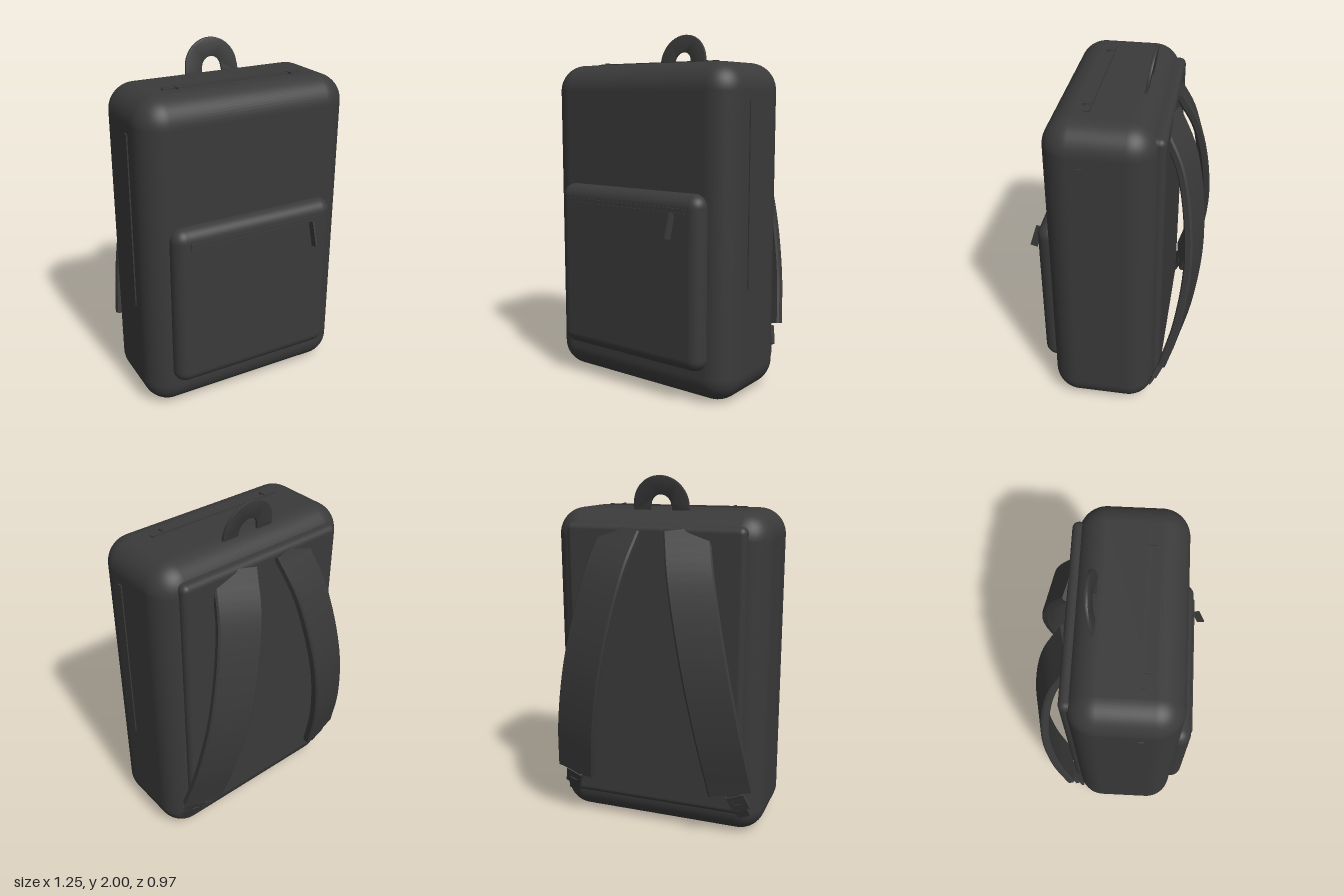
import * as THREE from 'three';
import { toCreasedNormals } from 'three/addons/utils/BufferGeometryUtils.js';
import { RoundedBoxGeometry } from 'three/addons/geometries/RoundedBoxGeometry.js';

const fabric = new THREE.MeshStandardMaterial({ color: 0x3a3a3a });
fabric.name = 'charcoal fabric';

function add(parent, name, geometry, x = 0, y = 0, z = 0) {
  const mesh = new THREE.Mesh(geometry, fabric);
  mesh.name = name;
  mesh.position.set(x, y, z);
  parent.add(mesh);
  return mesh;
}

// Sweeps a flat padded band along a curve; "across" is the width direction.
function band(points, across, width, thick, steps) {
  const curve = new THREE.CatmullRomCurve3(points);
  const w = width / 2, t = thick / 2, c = t * 0.4;
  const section = [[w, -t + c], [w, t - c], [w - c, t], [-w + c, t],
    [-w, t - c], [-w, -t + c], [-w + c, -t], [w - c, -t]];
  const n = section.length, pos = [], index = [];
  for (let i = 0; i <= steps; i++) {
    const p = curve.getPointAt(i / steps);
    const T = curve.getTangentAt(i / steps);
    const W = across.clone().addScaledVector(T, -T.dot(across)).normalize();
    const N = T.clone().cross(W);
    for (const [a, b] of section) {
      pos.push(...p.clone().addScaledVector(W, a).addScaledVector(N, b).toArray());
    }
  }
  for (let i = 0; i < steps; i++) {
    for (let j = 0; j < n; j++) {
      const a = i * n + j, b = i * n + (j + 1) % n;
      index.push(a, b, a + n, b, b + n, a + n);
    }
  }
  for (let j = 1; j < n - 1; j++) {
    const e = steps * n;
    index.push(0, j + 1, j, e, e + j, e + j + 1);
  }
  const g = new THREE.BufferGeometry();
  g.setAttribute('position', new THREE.Float32BufferAttribute(pos, 3));
  g.setIndex(index);
  return toCreasedNormals(g, 0.6);
}

// Arched carry loop, leaning back as it rises.
function handleGeometry() {
  const s = new THREE.Shape();
  s.moveTo(0.165, 0);
  s.lineTo(0.16, 0.045);
  s.absarc(0, 0.04, 0.16, 0, Math.PI, false);
  s.lineTo(-0.165, 0);
  s.lineTo(-0.064, 0);
  s.lineTo(-0.06, 0.04);
  s.absarc(0, 0.04, 0.058, Math.PI, 0, true);
  s.lineTo(0.064, 0);
  const g = new THREE.ExtrudeGeometry(s, { depth: 0.008, curveSegments: 20,
    bevelThickness: 0.004, bevelSize: 0.004, bevelOffset: -0.004, bevelSegments: 2 });
  const p = g.attributes.position;
  for (let i = 0; i < p.count; i++) p.setZ(i, p.getZ(i) - 0.17 * p.getY(i));
  g.deleteAttribute('normal');
  return toCreasedNormals(g, 0.6);
}

// Rectangular strap adjuster with a slot.
function buckleGeometry() {
  const rect = (Type, w, h, y) => new Type([[-w, y - h], [w, y - h], [w, y + h], [-w, y + h]]
    .map(([a, b]) => new THREE.Vector2(a, b)));
  const s = rect(THREE.Shape, 0.05, 0.055, 0);
  s.holes.push(rect(THREE.Path, 0.024, 0.02, 0.012));
  const g = new THREE.ExtrudeGeometry(s, { depth: 0.03, bevelEnabled: false });
  return g.translate(0, 0, -0.015);
}

export function createModel() {
  const bag = new THREE.Group();
  bag.name = 'backpack';

  // Main shell, padded back and front pocket
  add(bag, 'body', new RoundedBoxGeometry(1.24, 1.82, 0.585, 8, 0.15), 0, 0.91, 0.0425);
  add(bag, 'backPanel', new RoundedBoxGeometry(1.03, 1.6, 0.12, 4, 0.035), 0, 0.945, -0.223);
  add(bag, 'frontPocket', new RoundedBoxGeometry(0.99, 0.95, 0.2, 6, 0.07), 0, 0.665, 0.308);

  // Pocket zip with its hanging pull
  for (const y of [1.036, 1.058]) {
    add(bag, 'pocketZipEdge', new THREE.BoxGeometry(0.81, 0.016, 0.016), 0, y, 0.407);
  }
  add(bag, 'pocketZipTape', new THREE.BoxGeometry(0.81, 0.03, 0.008), 0, 1.047, 0.406);
  const pull = add(bag, 'pocketZipPull', new THREE.BoxGeometry(0.009, 0.142, 0.042), 0.335, 0.977, 0.446);
  pull.rotation.x = -0.3;

  // Top zip
  add(bag, 'topZipTape', new THREE.BoxGeometry(0.83, 0.01, 0.028), 0, 1.821, 0.122);
  add(bag, 'topZipEdge', new THREE.BoxGeometry(0.83, 0.014, 0.006), 0, 1.822, 0.111);

  // Carry loop
  add(bag, 'topHandle', handleGeometry(), 0, 1.8, -0.135);

  for (const side of [1, -1]) {
    const v = (x, y, z) => new THREE.Vector3(side * x, y, z);
    const across = new THREE.Vector3(1, 0, 0.2 * side);

    // Small pulls and side zips
    add(bag, 'topZipPull', new THREE.BoxGeometry(0.01, 0.012, 0.045), side * 0.34, 1.825, 0.135);
    add(bag, 'sideZip', new THREE.BoxGeometry(0.02, 1.0, 0.028), side * 0.617, 1.12, 0.122);

    // Curved padded shoulder strap
    add(bag, 'shoulderStrap', band([v(0.185, 1.72, -0.255), v(0.245, 1.48, -0.37),
      v(0.345, 1.02, -0.435), v(0.42, 0.62, -0.4), v(0.47, 0.3, -0.32)],
    across, 0.25, 0.046, 28));

    // Lower webbing and adjuster
    add(bag, 'lowerWebbing', band([v(0.465, 0.36, -0.335), v(0.5, 0.24, -0.292), v(0.53, 0.13, -0.235)],
      across, 0.08, 0.018, 6));
    const buckle = add(bag, 'strapAdjuster', buckleGeometry(), side * 0.505, 0.235, -0.287);
    buckle.rotation.set(-0.38, -0.2 * side, 0.29 * side);
  }
  return bag;
}
